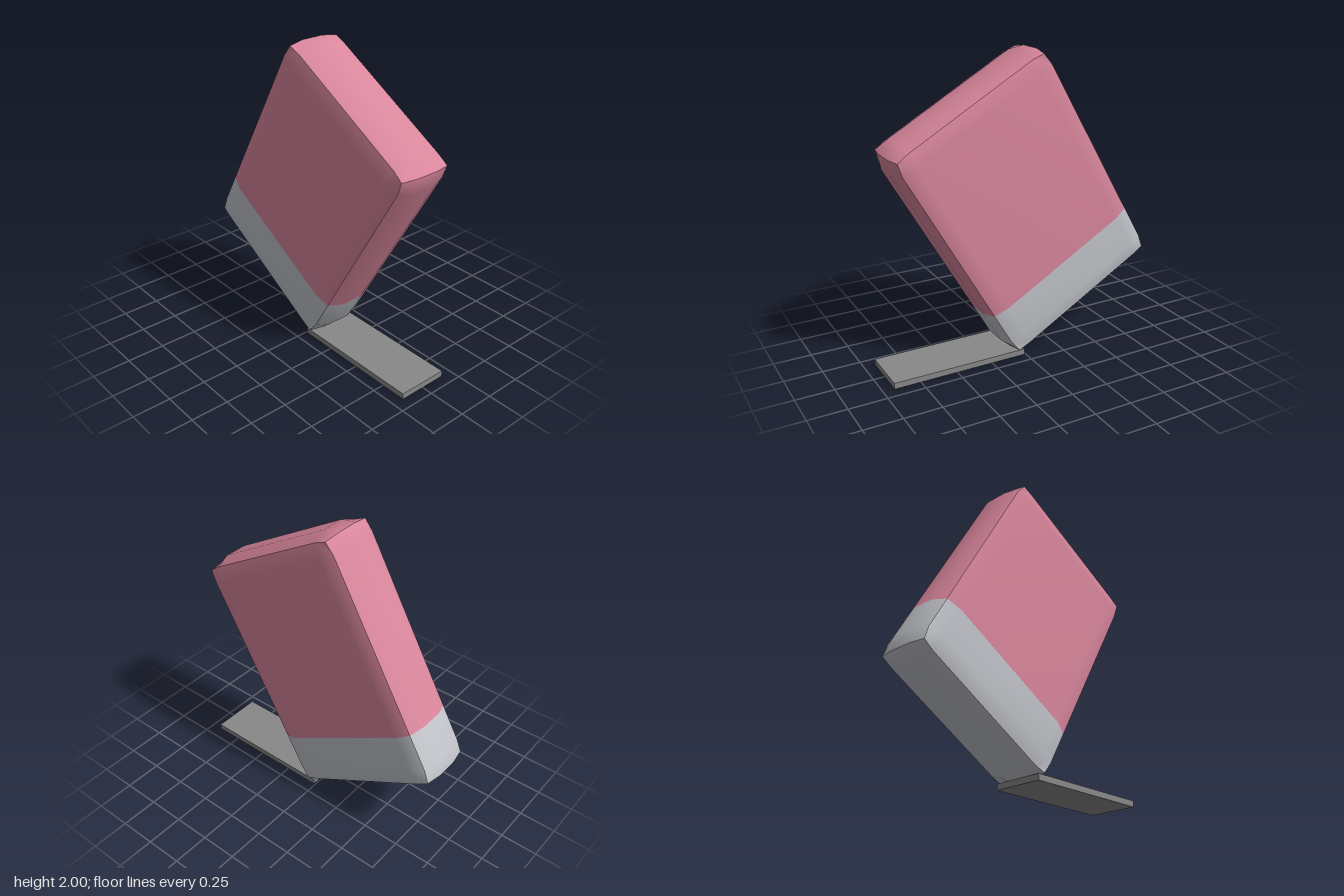
import * as THREE from 'three';

const mat = (name, color) => Object.assign(new THREE.MeshStandardMaterial({ color }), { name });

// Grid levels per axis (width, height, depth); +-1 marks the outer rim of the body
const LEVELS = [
  [-1, -0.47, 0.47, 1],
  [-1, -0.71, -0.46, 0.71, 1],
  [-1, -0.08, 0.08, 1],
];
// Half sizes on the bulged faces, along the creased edges and at the corners
const FACE = [0.605, 0.845, 0.207];
const EDGE = [0.569, 0.807, 0.18];
const CORNER = [0.553, 0.797, 0.183];

function bodyPoint(p) {
  const rim = p.filter((v) => Math.abs(v) === 1).length;
  const half = [null, FACE, EDGE, CORNER][rim];
  return p.map((v, i) => (Math.abs(v) === 1 ? v * half[i] : v));
}

// Cushion-shaped block: each side is a smooth bulged patch, with sharp creases between sides
function cushionGeometry() {
  const positions = [];
  const upper = [];
  const lower = [];
  for (let a = 0; a < 3; a++) {
    const b = (a + 1) % 3, c = (a + 2) % 3;
    for (const side of [-1, 1]) {
      const start = positions.length / 3;
      const B = LEVELS[b], C = LEVELS[c];
      for (const vb of B) {
        for (const vc of C) {
          const p = [0, 0, 0];
          p[a] = side; p[b] = vb; p[c] = vc;
          positions.push(...bodyPoint(p));
        }
      }
      for (let i = 0; i < B.length - 1; i++) {
        for (let j = 0; j < C.length - 1; j++) {
          const k = start + i * C.length + j;
          const n = k + C.length;
          const quad = side > 0 ? [k, n, n + 1, k, n + 1, k + 1] : [k, n + 1, n, k, k + 1, n + 1];
          // the lowest two rows carry the band colour
          const row = a === 1 ? (side < 0 ? 0 : 9) : b === 1 ? i : j;
          (row < 2 ? lower : upper).push(...quad);
        }
      }
    }
  }
  const geo = new THREE.BufferGeometry();
  geo.setAttribute('position', new THREE.Float32BufferAttribute(positions, 3));
  geo.setIndex([...upper, ...lower]);
  geo.addGroup(0, upper.length, 0);
  geo.addGroup(upper.length, lower.length, 1);
  geo.computeVertexNormals();
  return geo;
}

export function createModel() {
  const pink = mat('pink', 0xd8869c);
  const lightGrey = mat('light grey', 0xc2c4ca);
  const grey = mat('grey', 0x888888);

  const model = new THREE.Group();
  model.name = 'tiltedBlock';

  // Leaning two-tone body
  const body = new THREE.Mesh(cushionGeometry(), [pink, lightGrey]);
  body.name = 'body';
  body.position.set(-0.03, 1.015, 0);
  body.rotation.z = -Math.PI / 6;
  model.add(body);

  // Flat foot plate on the ground
  const plate = new THREE.Mesh(new THREE.BoxGeometry(0.915, 0.04, 0.346), grey);
  plate.name = 'footPlate';
  plate.position.set(0.468, 0.02, 0);
  model.add(plate);

  return model;
}
